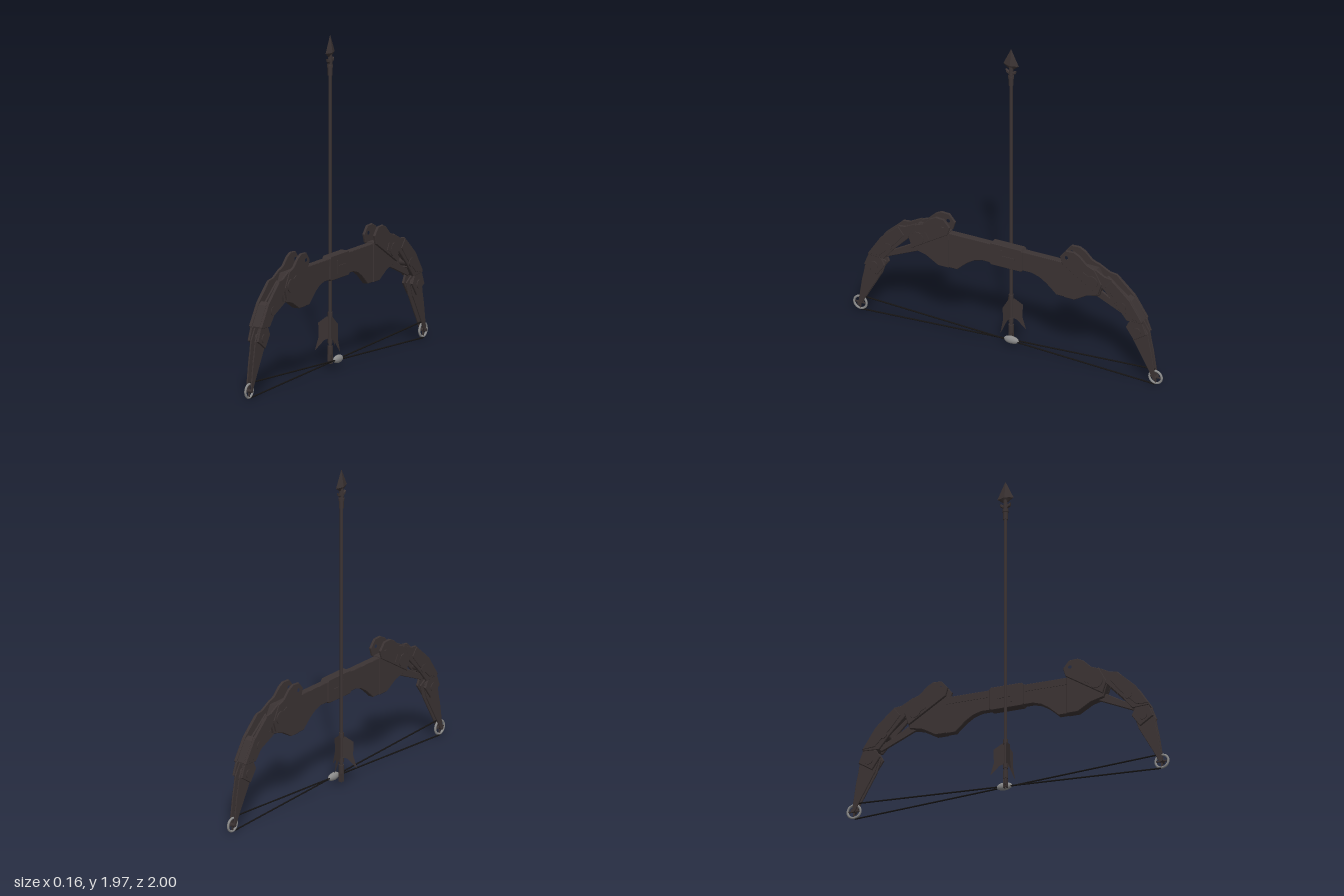
import * as THREE from 'three';

const mat = (name, color) => Object.assign(new THREE.MeshStandardMaterial({ color }), { name });

export function createModel() {
  const body = mat('charcoal', 0x3b3333);
  const steel = mat('grey steel', 0x8a8a8a);
  const cord = mat('black cord', 0x161414);
  const vaneMat = mat('charcoal vane', 0x3a3232);
  vaneMat.side = THREE.DoubleSide;

  const add = (parent, name, geo, material, x = 0, y = 0, z = 0) => {
    const m = new THREE.Mesh(geo, material);
    m.name = name;
    m.position.set(x, y, z);
    parent.add(m);
    return m;
  };

  // Flat plate: outline in (z, y), thickness along x
  const plate = (pts, thick, hole) => {
    const s = new THREE.Shape(pts.map(p => new THREE.Vector2(...p)));
    if (hole) {
      const h = new THREE.Path();
      h.absarc(hole[0], hole[1], hole[2], 0, Math.PI * 2, true);
      s.holes.push(h);
    }
    const bevel = Math.min(0.003, thick / 4);
    const g = new THREE.ExtrudeGeometry(s, {
      depth: thick - 2 * bevel, bevelThickness: bevel, bevelSize: bevel, bevelOffset: -bevel, bevelSegments: 1, curveSegments: 10,
    });
    g.translate(0, 0, bevel - thick / 2);
    g.rotateY(-Math.PI / 2);
    return g;
  };
  const pair = (parent, name, geo, x, material = body, y = 0, z = 0) => {
    for (const s of [-1, 1]) add(parent, name, geo, material, s * x, y, z);
  };
  const pin = (r, len, n = 20) => new THREE.CylinderGeometry(r, r, len, n).rotateZ(Math.PI / 2);
  const rod = (a, b, r, n = 6) =>
    new THREE.TubeGeometry(new THREE.LineCurve3(new THREE.Vector3(...a), new THREE.Vector3(...b)), 1, r, n);

  const model = new THREE.Group();
  model.name = 'bowAndArrow';
  const bow = new THREE.Group();
  bow.name = 'bow';
  bow.position.x = 0.025;
  model.add(bow);

  // Central grip with raised edging
  add(bow, 'grip', plate([[-0.107, 0.555], [-0.097, 0.544], [0.097, 0.544], [0.107, 0.555],
    [0.107, 0.675], [0.097, 0.688], [-0.097, 0.688], [-0.107, 0.675]], 0.056), body);
  pair(bow, 'gripCrossbar', new THREE.BoxGeometry(0.006, 0.012, 0.09), 0.029, body, 0.615, -0.01);
  pair(bow, 'gripUpright', new THREE.BoxGeometry(0.006, 0.08, 0.012), 0.029, body, 0.615, 0.03);

  const buildHalf = (name) => {
    const half = new THREE.Group();
    half.name = name;

    // Riser
    add(half, 'riser', plate([[0.08, 0.55], [0.16, 0.55], [0.21, 0.535], [0.255, 0.506], [0.29, 0.475], [0.32, 0.447],
      [0.38, 0.447], [0.38, 0.677], [0.08, 0.677]], 0.038), body);
    add(half, 'riserRail', new THREE.BoxGeometry(0.044, 0.042, 0.28), body, 0, 0.652, 0.235);
    add(half, 'riserEnd', plate([[0.372, 0.447], [0.44, 0.447], [0.52, 0.495], [0.6, 0.515], [0.625, 0.6],
      [0.58, 0.68], [0.372, 0.68]], 0.05), body);

    // Side brackets with an eyelet
    pair(half, 'bracket', plate([[0.394, 0.772], [0.447, 0.775], [0.485, 0.755], [0.53, 0.71], [0.58, 0.69],
      [0.625, 0.605], [0.6, 0.53], [0.545, 0.565], [0.372, 0.675], [0.356, 0.726]], 0.016, [0.4, 0.728, 0.014]), 0.036);
    add(half, 'bracketPin', pin(0.04, 0.1), body, 0, 0.608, 0.563);
    pair(half, 'bracketRib', new THREE.BoxGeometry(0.008, 0.045, 0.06).rotateX(0.5), 0.044, body, 0.625, 0.525);

    // Upper limb plates
    pair(half, 'upperLimb', plate([[0.57, 0.7], [0.645, 0.66], [0.69, 0.655], [0.735, 0.61], [0.805, 0.545], [0.885, 0.42],
      [0.885, 0.41], [0.785, 0.405], [0.72, 0.485], [0.62, 0.59], [0.57, 0.615]], 0.014), 0.033);
    pair(half, 'upperLimbArmour', plate([[0.69, 0.65], [0.735, 0.61], [0.805, 0.545], [0.885, 0.42],
      [0.81, 0.425], [0.71, 0.525], [0.65, 0.6]], 0.008), 0.04);
    add(half, 'limbPin', pin(0.026, 0.094), body, 0, 0.495, 0.758);
    add(half, 'limbCore', plate([[0.78, 0.55], [0.81, 0.535], [0.88, 0.42], [0.8, 0.405], [0.76, 0.46]], 0.052), body);

    // Slim brace between riser and limb
    add(half, 'brace', plate([[0.5, 0.53], [0.56, 0.505], [0.78, 0.405], [0.81, 0.43], [0.72, 0.475], [0.6, 0.545]], 0.014), body);
    add(half, 'limbSpine', plate([[0.6, 0.62], [0.65, 0.65], [0.8, 0.53], [0.76, 0.48]], 0.012), body);

    // Lower limb fork
    pair(half, 'limbKnuckle', plate([[0.87, 0.425], [0.885, 0.41], [0.912, 0.34], [0.83, 0.285], [0.778, 0.36], [0.8, 0.405]], 0.014), 0.03);
    pair(half, 'lowerLimb', plate([[0.87, 0.41], [0.912, 0.34], [0.922, 0.28], [0.935, 0.22], [0.96, 0.05],
      [0.94, 0.05], [0.91, 0.11], [0.815, 0.28], [0.79, 0.36]], 0.009), 0.0145);
    add(half, 'knucklePin', pin(0.026, 0.084), body, 0, 0.348, 0.849);

    // String wheel
    const wheel = new THREE.Group();
    wheel.name = 'wheel';
    wheel.position.set(0, 0.054, 0.953);
    half.add(wheel);
    add(wheel, 'wheelRim', new THREE.TorusGeometry(0.04, 0.007, 8, 28).rotateY(Math.PI / 2), steel);
    add(wheel, 'wheelSpoke', new THREE.BoxGeometry(0.008, 0.076, 0.008), body);
    add(wheel, 'wheelSpoke', new THREE.BoxGeometry(0.008, 0.008, 0.076), body);
    add(wheel, 'wheelAxle', pin(0.011, 0.042, 12), body);
    return half;
  };
  bow.add(buildHalf('frontHalf'));
  const back = buildHalf('backHalf');
  back.rotation.y = Math.PI;
  bow.add(back);

  // Crossed strings and the nocking pad
  for (const s of [-1, 1])
    add(bow, 'string', rod([s * 0.004, 0.102, s * 0.95], [s * 0.004, 0.008, -s * 0.95], 0.0045), cord);
  add(bow, 'nockingPad', new THREE.SphereGeometry(1, 20, 12).scale(0.018, 0.024, 0.048), steel, 0, 0.058, -0.022);

  // Arrow
  const arrow = new THREE.Group();
  arrow.name = 'arrow';
  arrow.position.x = -0.015;
  model.add(arrow);
  add(arrow, 'shaft', new THREE.CylinderGeometry(0.01, 0.01, 1.75, 12), body, 0, 0.925, 0);
  const collar = (name, y, r, h) => add(arrow, name, new THREE.CylinderGeometry(r, r, h, 12), body, 0, y, 0);
  collar('nockCollar', 0.11, 0.016, 0.05);
  collar('nockCollar', 0.165, 0.014, 0.03);
  collar('fletchCollar', 0.32, 0.014, 0.03);
  collar('headCollar', 1.775, 0.014, 0.08);
  collar('headRing', 1.79, 0.018, 0.015);
  for (const s of [-1, 1]) add(arrow, 'nockProng', new THREE.BoxGeometry(0.022, 0.06, 0.008), body, 0, 0.06, s * 0.008);

  // Faceted broadhead, thin in x
  const head = new THREE.CylinderGeometry(0.001, 0.05, 0.105, 4, 1).toNonIndexed();
  head.scale(0.34, 1, 1);
  head.computeVertexNormals();
  add(arrow, 'headBlade', head, body, 0, 1.922, 0);
  add(arrow, 'headBase', new THREE.CylinderGeometry(0.05, 0.018, 0.025, 4).scale(0.34, 1, 1).toNonIndexed(), body, 0, 1.858, 0);
  add(arrow, 'headNeck', new THREE.CylinderGeometry(0.012, 0.014, 0.07, 12), body, 0, 1.83, 0);
  add(arrow, 'headBarb', plate([[-0.034, 1.838], [0, 1.822], [0.034, 1.838], [0.03, 1.818], [0, 1.8], [-0.03, 1.818]], 0.016), body);

  // Three swept vanes
  const vane = new THREE.ShapeGeometry(new THREE.Shape([[0.005, 0.31], [0.02, 0.31], [0.07, 0.275], [0.068, 0.19], [0.09, 0.11],
    [0.035, 0.17], [0.005, 0.18]].map(p => new THREE.Vector2(...p))));
  for (let i = 0; i < 3; i++)
    add(arrow, 'vane', vane, vaneMat).rotation.y = -THREE.MathUtils.degToRad(137.5 + 120 * i);

  return model;
}
